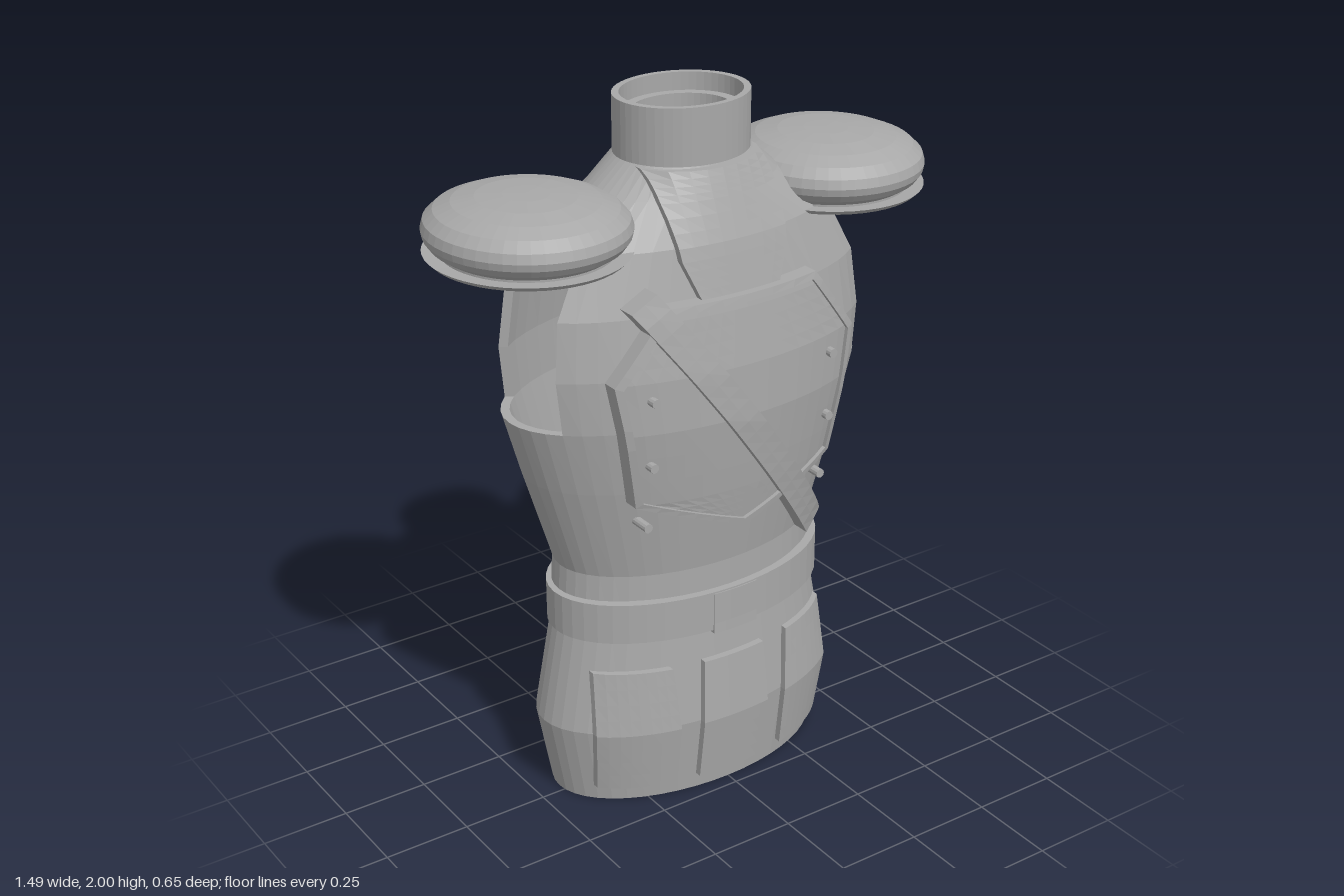
import * as THREE from 'three';

const V = (x, y, z) => new THREE.Vector3(x, y, z);
const lerp = THREE.MathUtils.lerp;
const CZ = -0.025; // depth of the torso axis

// Torso rings: height, half width, half depth
const RINGS = [
  [0, 0.43, 0.235], [0.24, 0.475, 0.262], [0.53, 0.42, 0.237], [0.72, 0.408, 0.236],
  [1.0, 0.495, 0.276], [1.19, 0.55, 0.295], [1.34, 0.567, 0.29], [1.5, 0.548, 0.266],
  [1.66, 0.455, 0.232], [1.77, 0.28, 0.192], [1.845, 0.19, 0.164],
];

// Depth of the torso's front at (x, y)
function frontZ(x, y) {
  let k = 0;
  while (k < RINGS.length - 2 && y > RINGS[k + 1][0]) k++;
  const [y0, a0, b0] = RINGS[k], [y1, a1, b1] = RINGS[k + 1];
  const t = (y - y0) / (y1 - y0);
  const a = lerp(a0, a1, t), b = lerp(b0, b1, t);
  return CZ + b * Math.sqrt(Math.max(0, 1 - (x / a) ** 2));
}

function flat(geometry) {
  const g = geometry.index ? geometry.toNonIndexed() : geometry;
  g.computeVertexNormals();
  return g;
}

// Thick sheet over a grid: outer layer 1, inner layer 0, walls along every open edge
function shell(nj, ni, point, solid) {
  const pos = [];
  const quad = (a, b, c, d) => [a, b, c, a, c, d].forEach((p) => pos.push(p.x, p.y, p.z));
  for (let j = 0; j < nj; j++) for (let i = 0; i < ni; i++) {
    if (!solid(j, i)) continue;
    const at = [[j, i], [j + 1, i], [j + 1, i + 1], [j, i + 1]];
    const out = at.map(([r, c]) => point(r, c, 1));
    const inn = at.map(([r, c]) => point(r, c, 0));
    quad(...out);
    quad(inn[3], inn[2], inn[1], inn[0]);
    [[j, i - 1], [j + 1, i], [j, i + 1], [j - 1, i]].forEach(([r, c], k) => {
      const n = (k + 1) % 4;
      if (!solid(r, c)) quad(out[n], out[k], inn[k], inn[n]);
    });
  }
  const g = new THREE.BufferGeometry();
  g.setAttribute('position', new THREE.Float32BufferAttribute(pos, 3));
  return flat(g);
}

// Panel hugging the torso front; each row is [leftX, leftY, rightX, rightY]
function panel(rows, thickness, columns = 8, steps = 4) {
  const nj = (rows.length - 1) * steps;
  const point = (j, i, layer) => {
    const k = Math.min(Math.floor(j / steps), rows.length - 2);
    const r = rows[k].map((v, n) => lerp(v, rows[k + 1][n], j / steps - k));
    const x = lerp(r[0], r[2], i / columns), y = lerp(r[1], r[3], i / columns);
    return V(x, y, frontZ(x, y) + (layer ? thickness : -0.01));
  };
  return shell(nj, columns, point, (j, i) => j >= 0 && j < nj && i >= 0 && i < columns);
}

const level = (y, x0, x1) => [x0, y, x1, y];

function lathe(profile, depthRatio) {
  const g = new THREE.LatheGeometry(profile.map(([r, y]) => new THREE.Vector2(r, y)), 48);
  g.scale(1, 1, depthRatio);
  return flat(g);
}

export function createModel() {
  const group = new THREE.Group();
  const grey = new THREE.MeshStandardMaterial({ color: 0xa8a8a8 });
  grey.name = 'grey';
  const add = (name, geometry, x = 0, y = 0, z = 0) => {
    const mesh = new THREE.Mesh(geometry, grey);
    mesh.name = name;
    mesh.position.set(x, y, z);
    group.add(mesh);
  };

  // Hollow torso with an armhole on each side
  const N = 48, top = RINGS.length - 1;
  const ringPoint = (j, i, layer) => {
    const [y, a, b] = RINGS[j], t = (i / N) * Math.PI * 2, inset = layer ? 0 : 0.025;
    return V((a - inset) * Math.cos(t), y, CZ + (b - inset) * Math.sin(t));
  };
  const isTorso = (j, i) => {
    if (j < 0 || j >= top) return false;
    const besideArm = Math.abs(Math.cos(((i + 0.5) / N) * Math.PI * 2)) > Math.cos(Math.PI / 6);
    return !(besideArm && j >= 5 && j < 8);
  };
  add('torso', shell(top, N, ringPoint, isTorso));

  // Neck with an inner ledge
  add('neck', lathe([[0.14, 1.83], [0.19, 1.83], [0.19, 2], [0.17, 2], [0.17, 1.95],
    [0.14, 1.95], [0.14, 1.83]], 0.865), 0, 0, CZ);

  // Belt and buckle
  add('belt', lathe([[0.395, 0.525], [0.432, 0.525], [0.432, 0.645], [0.395, 0.645]], 0.595), 0, 0, -0.018);
  add('buckle', panel([level(0.64, -0.072, 0.072), level(0.515, -0.072, 0.072)], 0.03));

  // Hip panels
  add('middleHipPanel', panel([level(0.43, -0.1, 0.1), level(0.24, -0.11, 0.11), level(0.05, -0.112, 0.112)], 0.02));
  add('leftHipPanel', panel([level(0.43, 0.195, 0.39), level(0.24, 0.18, 0.4), level(0.05, 0.18, 0.385)], 0.02));
  add('rightHipPanel', panel([level(0.43, -0.39, -0.195), level(0.24, -0.4, -0.18), level(0.05, -0.385, -0.18)], 0.02));

  // Bib below the neck
  add('bib', panel([level(1.84, -0.183, 0.183), level(1.77, -0.18, 0.18), level(1.63, -0.165, 0.165),
    level(1.53, -0.125, 0.125)], 0.022));

  // Chest plate with a raised rim
  add('chestPlate', panel([level(1.53, -0.24, 0.24), level(1.34, -0.385, 0.385),
    level(0.975, -0.32, 0.32), level(0.855, -0.005, 0.005)], 0.034, 14, 5));
  const outline = [[-0.24, 1.53], [0.24, 1.53], [0.385, 1.34], [0.32, 0.975], [0, 0.855],
    [-0.32, 0.975], [-0.385, 1.34], [-0.24, 1.53]];
  const rim = outline.map(([x, y]) => [x * 0.945, 1.19 + (y - 1.19) * 0.945, x, y]);
  add('chestPlateRim', panel(rim, 0.046, 1, 6));

  // Diagonal strap across the chest
  add('strap', panel([[-0.33, 1.53, -0.26, 1.575], [0.265, 0.72, 0.33, 0.77]], 0.056, 2, 20));

  for (const side of [1, -1]) {
    const label = side > 0 ? 'left' : 'right';

    // Studs
    for (const y of [1.29, 1.1, 0.91]) {
      const stud = new THREE.CylinderGeometry(0.013, 0.013, 0.07, 12).rotateX(Math.PI / 2);
      add(label + 'Stud', flat(stud), side * 0.287, y, frontZ(0.287, y) + 0.02);
    }

    // Shoulder pad: shallow flange, groove and flattened dome
    add(label + 'ShoulderPad', lathe([[0, 1.633], [0.12, 1.634], [0.21, 1.64], [0.255, 1.652],
      [0.268, 1.665], [0.225, 1.662], [0.225, 1.668], [0.25, 1.685], [0.264, 1.705], [0.268, 1.725],
      [0.261, 1.75], [0.235, 1.775], [0.19, 1.794], [0.13, 1.806], [0.06, 1.811], [0, 1.812]], 1.055),
    side * 0.477, 0, -0.022);
  }
  return group;
}
